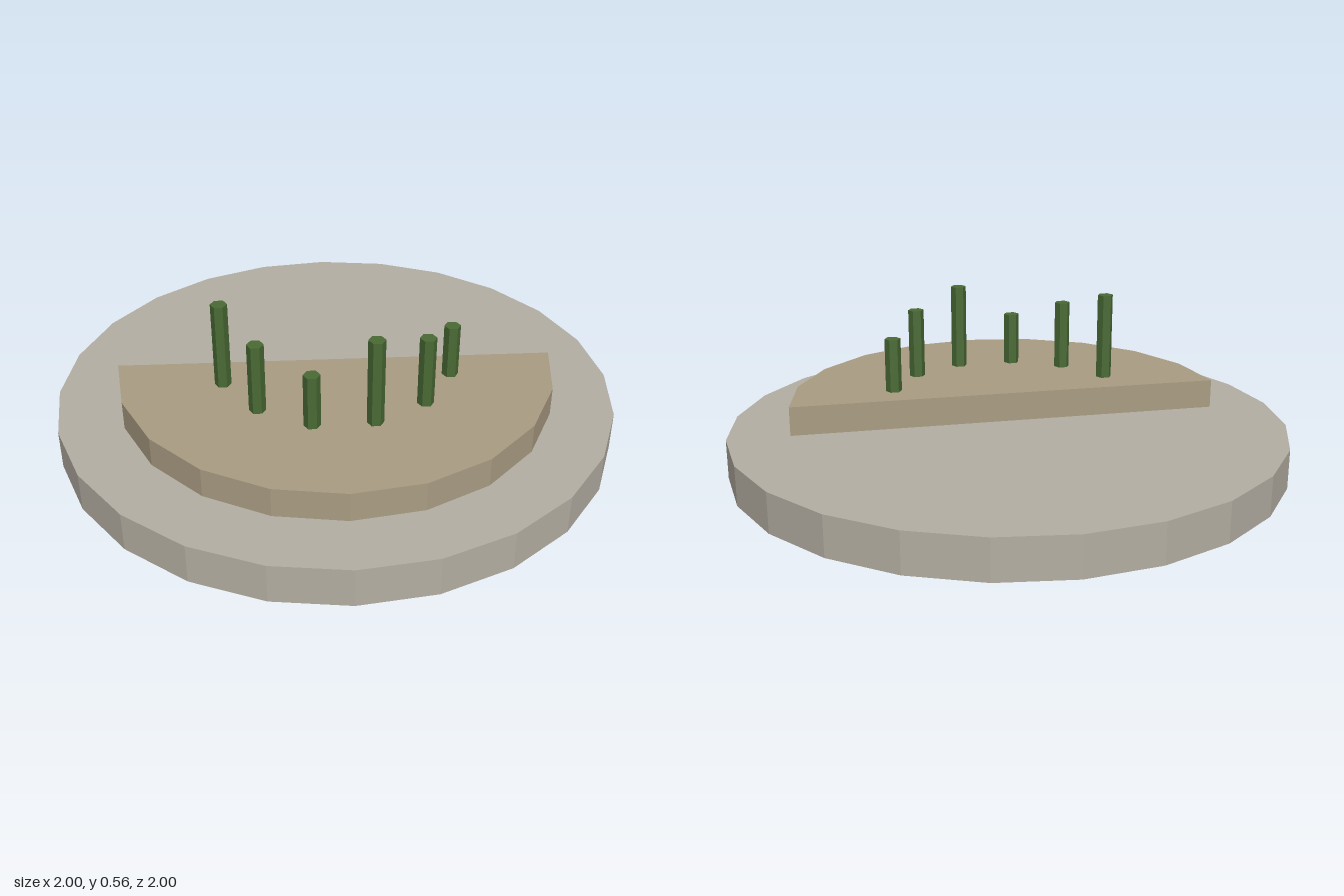
import * as THREE from 'three';

const mat = (color, side = THREE.FrontSide) =>
  new THREE.MeshStandardMaterial({ color, side, flatShading: true });

export function createModel() {
  const group = new THREE.Group();
  const add = (name, geometry, material, x = 0, y = 0, z = 0) => {
    const mesh = new THREE.Mesh(geometry, material);
    mesh.name = name;
    mesh.position.set(x, y, z);
    group.add(mesh);
    return mesh;
  };
  const baseTop = 0.14, tierTop = 0.245;
  const stone = mat(0xb5afa3, THREE.DoubleSide);

  // Round base: wall open at the bottom, with a flat top
  add('baseWall', new THREE.CylinderGeometry(1, 1, baseTop, 24, 1, true), stone, 0, baseTop / 2, 0);
  add('baseTop', new THREE.CircleGeometry(1, 24).rotateX(-Math.PI / 2), mat(0xb5afa3), 0, baseTop, 0);

  // Shallow earth cone inside the hollow base, tapering to a tiny tip
  const tip = 0.055, rim = baseTop - 0.002;
  add('earthUnderside', new THREE.CylinderGeometry(0.998, 0.008, rim - tip, 24),
    mat(0x4a3a2a), 0, (rim + tip) / 2, 0);

  // Half-round raised tier on the front half
  const half = new THREE.Shape();
  for (let i = 0; i <= 10; i++) {
    const a = -Math.PI + (i / 10) * Math.PI;
    half[i ? 'lineTo' : 'moveTo'](0.78 * Math.cos(a), 0.78 * Math.sin(a));
  }
  half.closePath();
  const tier = new THREE.ExtrudeGeometry(half, { depth: tierTop - baseTop, bevelEnabled: false });
  add('raisedTier', tier.rotateX(-Math.PI / 2), mat(0xaa9d83), 0, baseTop, 0);

  // Hexagonal green stalks in an arc: x, z, top height
  const green = mat(0x4a6b35);
  const stalks = [
    [-0.4, 0.14, 0.56], [-0.28, 0.31, 0.5], [-0.1, 0.41, 0.44],
    [0.11, 0.405, 0.56], [0.29, 0.3, 0.5], [0.4, 0.12, 0.44],
  ];
  stalks.forEach(([x, z, top], i) => {
    const h = top - tierTop;
    const geometry = new THREE.CylinderGeometry(0.029, 0.029, h, 6).rotateY(Math.PI / 6);
    add(`stalk${i + 1}`, geometry, green, x, tierTop + h / 2, z);
  });
  return group;
}
